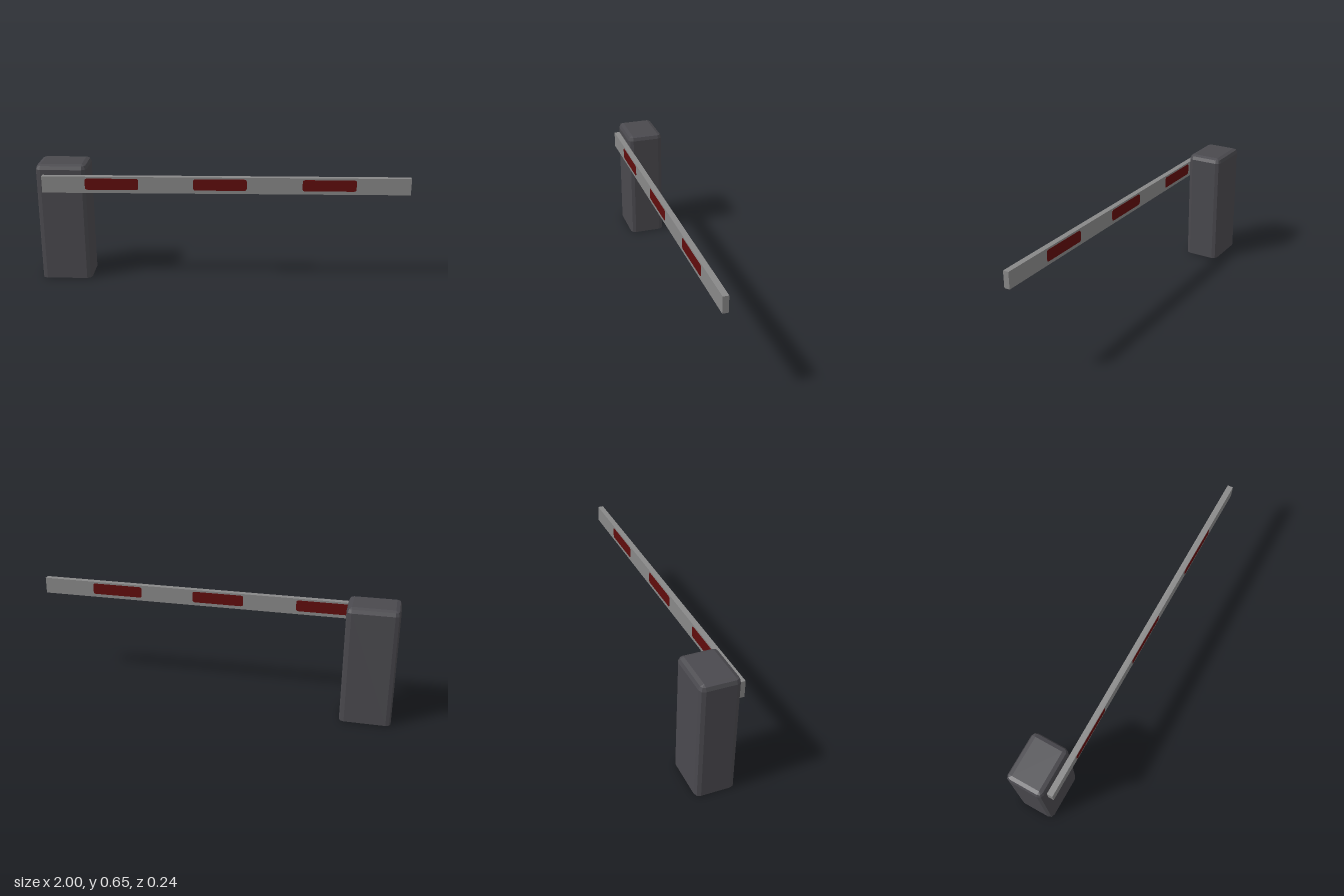
import * as THREE from 'three';

const housingMat = new THREE.MeshStandardMaterial({ color: 0x4a494e, side: THREE.DoubleSide });
housingMat.name = 'charcoal';
const boomMat = new THREE.MeshStandardMaterial({ color: 0x888888 });
boomMat.name = 'grey';
const stripeMat = new THREE.MeshStandardMaterial({ color: 0x600c0c });
stripeMat.name = 'dark red';

// Upright box with bevelled corners and top edges, open underneath
function housingGeometry(w, h, d, r) {
  const corners = [[1, 1], [-1, 1], [-1, -1], [1, -1]];
  const ring = (y, grow) => corners.flatMap(([sx, sz], c) =>
    [0, 1, 2].map((k) => {
      const a = (c + k / 2) * Math.PI / 2;
      return [sx * (w / 2 - r) + grow * Math.cos(a), y, sz * (d / 2 - r) + grow * Math.sin(a)];
    }));
  const rings = [ring(0, r)];
  for (let i = 0; i <= 2; i++) {
    const a = i * Math.PI / 4;
    rings.push(ring(h - r + r * Math.sin(a), r * Math.cos(a)));
  }
  const pos = [];
  const tri = (...pts) => pts.forEach((p) => pos.push(...p));
  for (let j = 0; j < rings.length - 1; j++) {
    for (let i = 0; i < 12; i++) {
      const n = (i + 1) % 12;
      const [a, b, c, e] = [rings[j][i], rings[j][n], rings[j + 1][n], rings[j + 1][i]];
      tri(a, c, b);
      tri(a, e, c);
    }
  }
  // Flat lid
  const top = rings[rings.length - 1];
  tri(top[0], top[6], top[3]);
  tri(top[0], top[9], top[6]);
  const g = new THREE.BufferGeometry();
  g.setAttribute('position', new THREE.Float32BufferAttribute(pos, 3));
  g.computeVertexNormals();
  return g;
}

// Stripe plate with rounded corners
function stripeGeometry(w, h, r, depth) {
  const x = w / 2, y = h / 2;
  const s = new THREE.Shape();
  s.moveTo(-x + r, -y);
  s.lineTo(x - r, -y);
  s.quadraticCurveTo(x, -y, x, -y + r);
  s.lineTo(x, y - r);
  s.quadraticCurveTo(x, y, x - r, y);
  s.lineTo(-x + r, y);
  s.quadraticCurveTo(-x, y, -x, y - r);
  s.lineTo(-x, -y + r);
  s.quadraticCurveTo(-x, -y, -x + r, -y);
  return new THREE.ExtrudeGeometry(s, { depth, bevelEnabled: false, curveSegments: 3 })
    .translate(0, 0, -depth / 2);
}

export function createModel() {
  const model = new THREE.Group();
  model.name = 'barrierGate';
  const add = (name, geometry, material, x, y, z) => {
    const mesh = new THREE.Mesh(geometry, material);
    mesh.name = name;
    mesh.position.set(x, y, z);
    model.add(mesh);
  };

  add('housing', housingGeometry(0.275, 0.652, 0.207, 0.027), housingMat, -0.8625, 0, -0.0165);

  // Boom arm across the front of the housing
  const boomZ = 0.106;
  add('boom', new THREE.BoxGeometry(1.96, 0.09, 0.031), boomMat, 0.02, 0.555, boomZ);

  // Warning stripes on both faces of the boom
  const stripe = stripeGeometry(0.285, 0.062, 0.013, 0.002);
  for (const x of [-0.587, -0.01, 0.57]) {
    add('frontStripe', stripe, stripeMat, x, 0.559, boomZ + 0.0155);
    add('backStripe', stripe, stripeMat, x, 0.559, boomZ - 0.0155);
  }
  return model;
}
